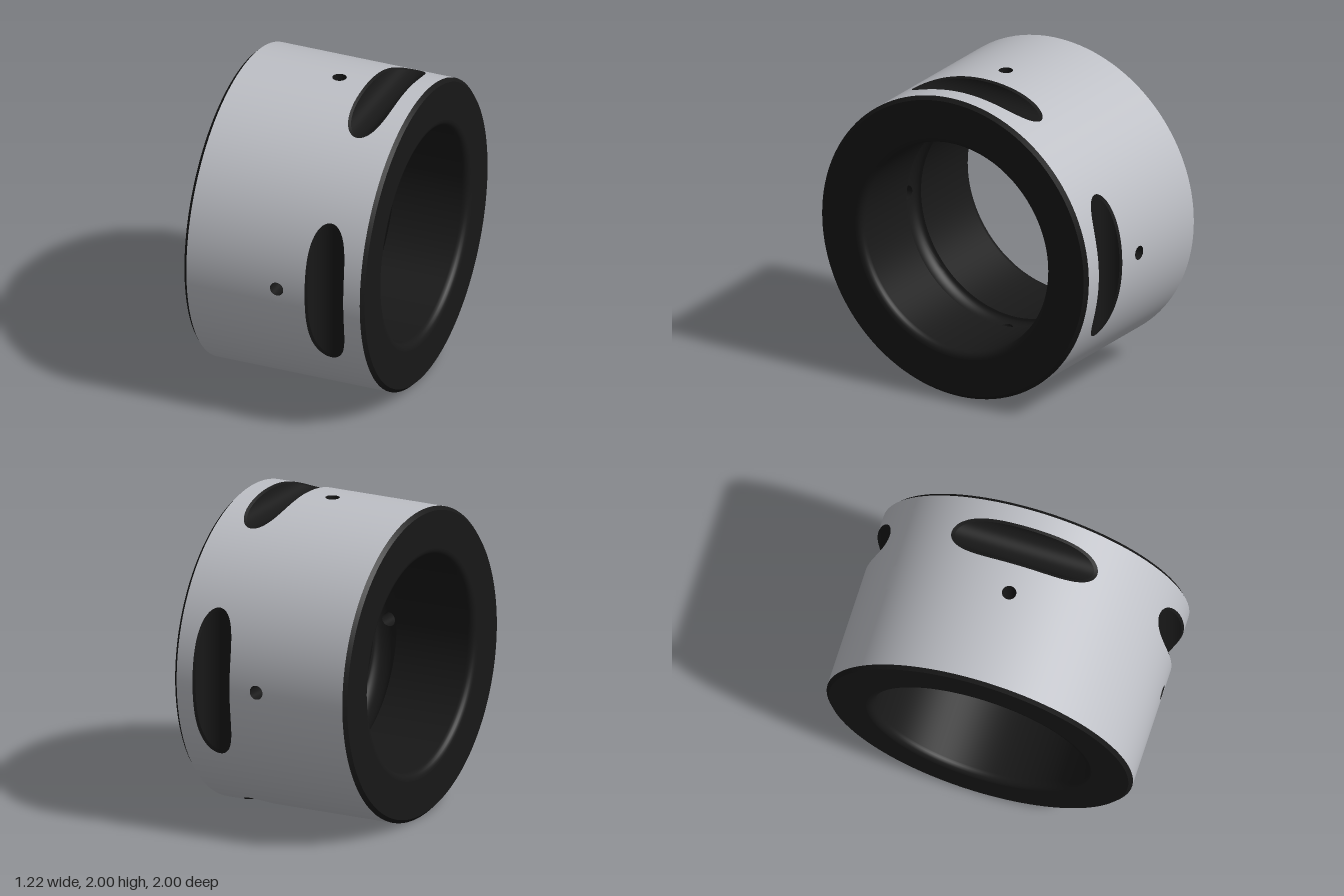
import * as THREE from 'three';
import { mergeVertices } from 'three/addons/utils/BufferGeometryUtils.js';

const N = 128;                       // segments round the ring and round each opening
const HALF = 0.61, CHAMFER = 0.023;  // half length of the ring, outer edge chamfer
const BORE = 0.69, FILLET = 0.045;
const SLOT_X = 0.344, SLOT_BAND = 0.16, SLOT_R = 0.115, SLOT_AXIS = 0.9965, RIM = 0.99;
const HOLE_X = 0.024, HOLE_BAND = 0.08, HOLE_R = 0.045, GROOVE_DEPTH = 0.05;

// Bright outer skin, near-black machined surfaces
const skin = new THREE.MeshStandardMaterial({ color: 0xbec0c6, side: THREE.DoubleSide });
const dark = new THREE.MeshStandardMaterial({ color: 0x181818, side: THREE.DoubleSide });

// Point on a cylinder round the x axis
const onRing = (x, angle, r) => [x, r * Math.cos(angle), r * Math.sin(angle)];

// Surface from a rule over an nu by nv grid
function surface(nu, nv, rule, flip = false, radialNormals = false) {
  const pos = [], index = [];
  for (let i = 0; i <= nu; i++) for (let j = 0; j <= nv; j++) pos.push(...rule(i, j / nv));
  for (let i = 0; i < nu; i++) for (let j = 0; j < nv; j++) {
    const a = i * (nv + 1) + j, b = a + nv + 1, c = b + 1, d = a + 1;
    if (flip) index.push(a, c, b, a, d, c);
    else index.push(a, b, c, a, c, d);
  }
  let g = new THREE.BufferGeometry();
  g.setAttribute('position', new THREE.Float32BufferAttribute(pos, 3));
  g.setIndex(index);
  g = mergeVertices(g, 1e-5);
  g.computeVertexNormals();
  if (radialNormals) {
    const p = g.attributes.position, n = g.attributes.normal;
    for (let i = 0; i < p.count; i++) {
      const l = Math.hypot(p.getY(i), p.getZ(i));
      n.setXYZ(i, 0, p.getY(i) / l, p.getZ(i) / l);
    }
  }
  return g;
}

// Unit square outline, N steps, starting at the middle of the +x side
function square(i) {
  const m = (i + N / 8) % N, u = (m % (N / 4)) / (N / 8) - 1;
  return [[1, u], [-u, 1], [-1, -u], [u, -1]][Math.floor(m / (N / 4))];
}

// Quarter-turn band of the ring with an opening; loop(i) gives [x, angle]
function pierced(centre, halfWidth, loop, radius, flip, radialNormals) {
  return surface(N, 12, (i, v) => {
    const [sx, sa] = square(i), [x, a] = loop(i);
    const px = THREE.MathUtils.lerp(x, centre + sx * halfWidth, v);
    const pa = THREE.MathUtils.lerp(a, sa * Math.PI / 4, v);
    return onRing(px, pa, radius(px));
  }, flip, radialNormals);
}

// Straight round-bottomed groove, cut across the ring
const slotMax = Math.acos((SLOT_AXIS - RIM) / SLOT_R);
function slotSection(i) {
  const a = slotMax * Math.cos(i * 2 * Math.PI / N);
  const y = SLOT_AXIS - SLOT_R * Math.cos(a);
  return { x: SLOT_R * Math.sin(a), y, z: Math.sqrt(Math.max(0, RIM * RIM - y * y)) };
}
function slotEdge(i) {
  const s = slotSection(i), side = i % N <= N / 2 ? 1 : -1;
  return [SLOT_X + s.x * 1.14, Math.asin(side * s.z * 1.055)];
}

// Radial oil hole outline at radius r
function holeEdge(i, r) {
  const t = i * 2 * Math.PI / N;
  return [HOLE_X + HOLE_R * Math.cos(t), Math.asin(HOLE_R * Math.sin(t) / r)];
}
const grooveRadius = x =>
  BORE + GROOVE_DEPTH * Math.sqrt(Math.max(0, 1 - ((x - HOLE_X) / HOLE_BAND) ** 2));

export function createModel() {
  const model = new THREE.Group();
  const add = (parent, name, geometry, material) => {
    const mesh = new THREE.Mesh(geometry, material);
    mesh.name = name;
    parent.add(mesh);
  };
  // Turned part: points are [x, radius]
  const turned = (name, points, material) => {
    const g = new THREE.LatheGeometry(points.map(([x, r]) => new THREE.Vector2(r, x)), N);
    add(model, name, g.rotateZ(-Math.PI / 2), material);
  };

  // Plain outer bands between the pierced ones
  const edge = HALF - CHAMFER;
  turned('outerBandRight', [[-edge, 1], [HOLE_X - HOLE_BAND, 1]], skin);
  turned('outerBandMiddle', [[HOLE_X + HOLE_BAND, 1], [SLOT_X - SLOT_BAND, 1]], skin);
  turned('outerBandLeft', [[SLOT_X + SLOT_BAND, 1], [edge, 1]], skin);

  // Chamfers, end faces, rounded bore edges and bore
  for (const s of [1, -1]) {
    const order = points => (s > 0 ? points : points.reverse());
    const side = s > 0 ? 'Left' : 'Right';
    turned('chamfer' + side, order([[s * edge, 1], [s * HALF, 1 - CHAMFER]]), dark);
    turned('endFace' + side, order([[s * HALF, 1 - CHAMFER], [s * HALF, BORE + FILLET]]), dark);
    const bore = [];
    for (let k = 0; k <= 6; k++) {
      const t = k / 6 * Math.PI / 2;
      bore.push([s * (HALF - FILLET + FILLET * Math.cos(t)), BORE + FILLET * (1 - Math.sin(t))]);
    }
    bore.push([s * (HALF - FILLET - 0.005), BORE]);
    bore.push([HOLE_X + s * HOLE_BAND, BORE]);
    turned('bore' + side, order(bore), dark);
  }

  // One quarter of the openings, repeated round the ring
  const parts = {
    slotBand: [pierced(SLOT_X, SLOT_BAND, slotEdge, () => 1, false, true), skin],
    slotLip: [surface(N, 1, (i, v) => {
      if (v === 1) return onRing(...slotEdge(i), 1);
      const s = slotSection(i);
      return [SLOT_X + s.x, s.y, i % N <= N / 2 ? s.z : -s.z];
    }), dark],
    slotFloor: [surface(N / 2, 16, (i, v) => {
      const s = slotSection(i);
      return [SLOT_X + s.x, s.y, (2 * v - 1) * s.z];
    }), dark],
    holeBand: [pierced(HOLE_X, HOLE_BAND, i => holeEdge(i, 1), () => 1, false, true), skin],
    holeWall: [surface(N, 2, (i, v) => {
      const r = THREE.MathUtils.lerp(grooveRadius(holeEdge(i, 1)[0]), 1, v);
      return onRing(...holeEdge(i, r), r);
    }), dark],
    innerGroove: [pierced(HOLE_X, HOLE_BAND,
      i => holeEdge(i, grooveRadius(holeEdge(i, 1)[0])), grooveRadius, true, false), dark],
  };
  for (let q = 0; q < 4; q++) {
    const quarter = new THREE.Group();
    quarter.name = 'quarter' + (q + 1);
    for (const [name, [geometry, material]] of Object.entries(parts)) {
      add(quarter, name, geometry, material);
    }
    quarter.rotation.x = q * Math.PI / 2;
    model.add(quarter);
  }

  model.name = 'slottedBushing';
  model.position.y = 1;
  return model;
}
